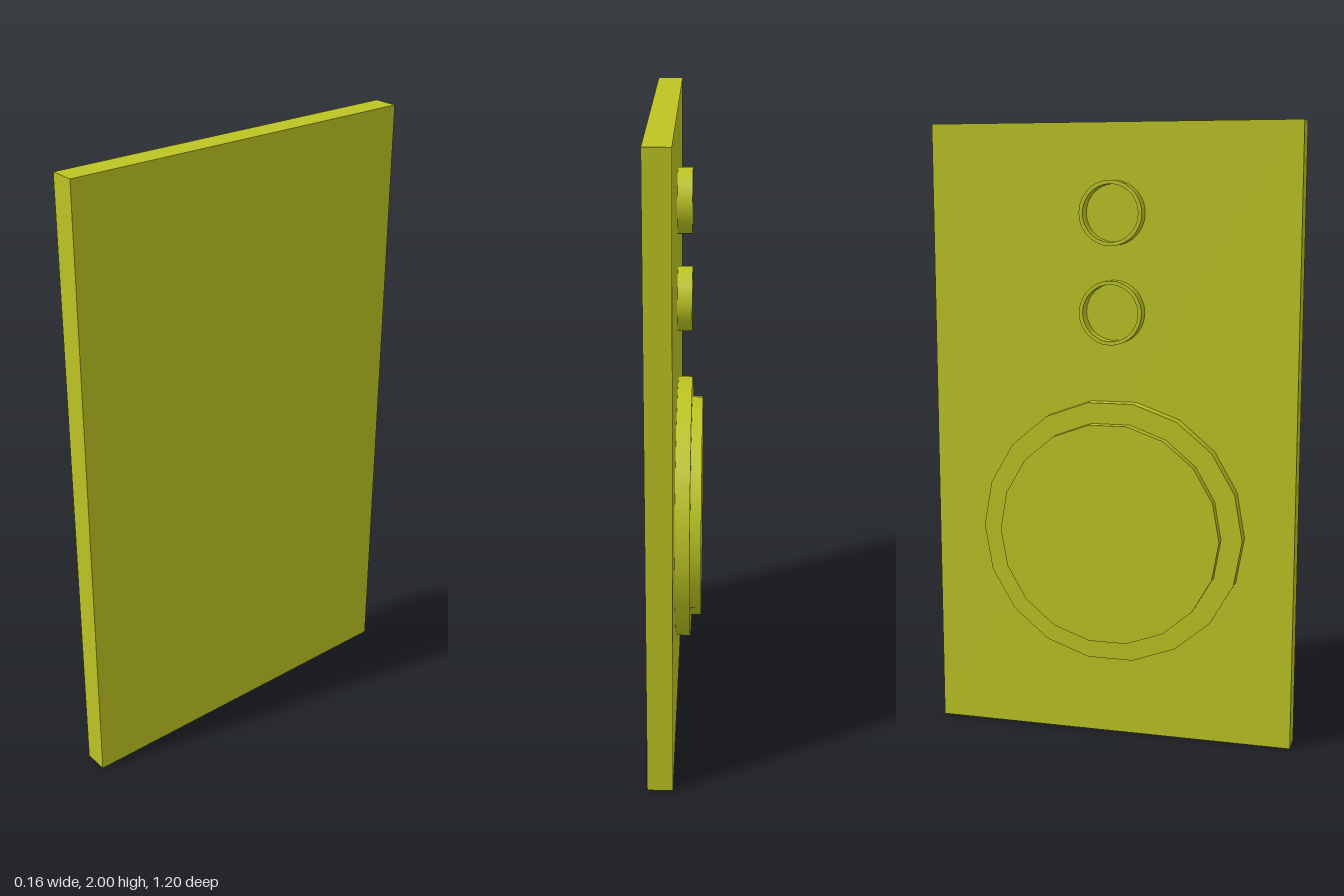
import * as THREE from 'three';

const material = new THREE.MeshStandardMaterial({ color: 0xbcc422 });

export function createModel() {
  const model = new THREE.Group();
  const add = (name, geometry, x, y, z) => {
    const mesh = new THREE.Mesh(geometry, material);
    mesh.name = name;
    mesh.position.set(x, y, z);
    model.add(mesh);
    return mesh;
  };

  // Flat panel
  add('panel', new THREE.BoxGeometry(0.08, 2, 1.2), 0.04, 1, 0);

  // Stepped woofer discs, axis along x
  const disc = (name, radius, x0, x1) => {
    const geometry = new THREE.CylinderGeometry(radius, radius, x1 - x0, 18);
    geometry.rotateZ(Math.PI / 2);
    add(name, geometry, (x0 + x1) / 2, 0.695, 0.008);
  };
  disc('wooferRim', 0.432, -0.046, 0.002);
  disc('wooferCone', 0.364, -0.08, -0.045);

  // Two thin open rings above; creased corners come from doubled profile points
  const outer = 0.102, inner = 0.09, depth = 0.046;
  const corners = [[inner, 0], [outer, 0], [outer, depth], [inner, depth], [inner, 0]];
  const profile = [];
  for (let i = 0; i < 4; i++) {
    for (const [r, h] of [corners[i], corners[i + 1]]) profile.push(new THREE.Vector2(r, h));
  }
  [['upperRing', 1.72], ['lowerRing', 1.408]].forEach(([name, y]) => {
    const geometry = new THREE.LatheGeometry(profile, 28);
    geometry.rotateZ(Math.PI / 2);
    add(name, geometry, 0, y, 0.007);
  });

  return model;
}
